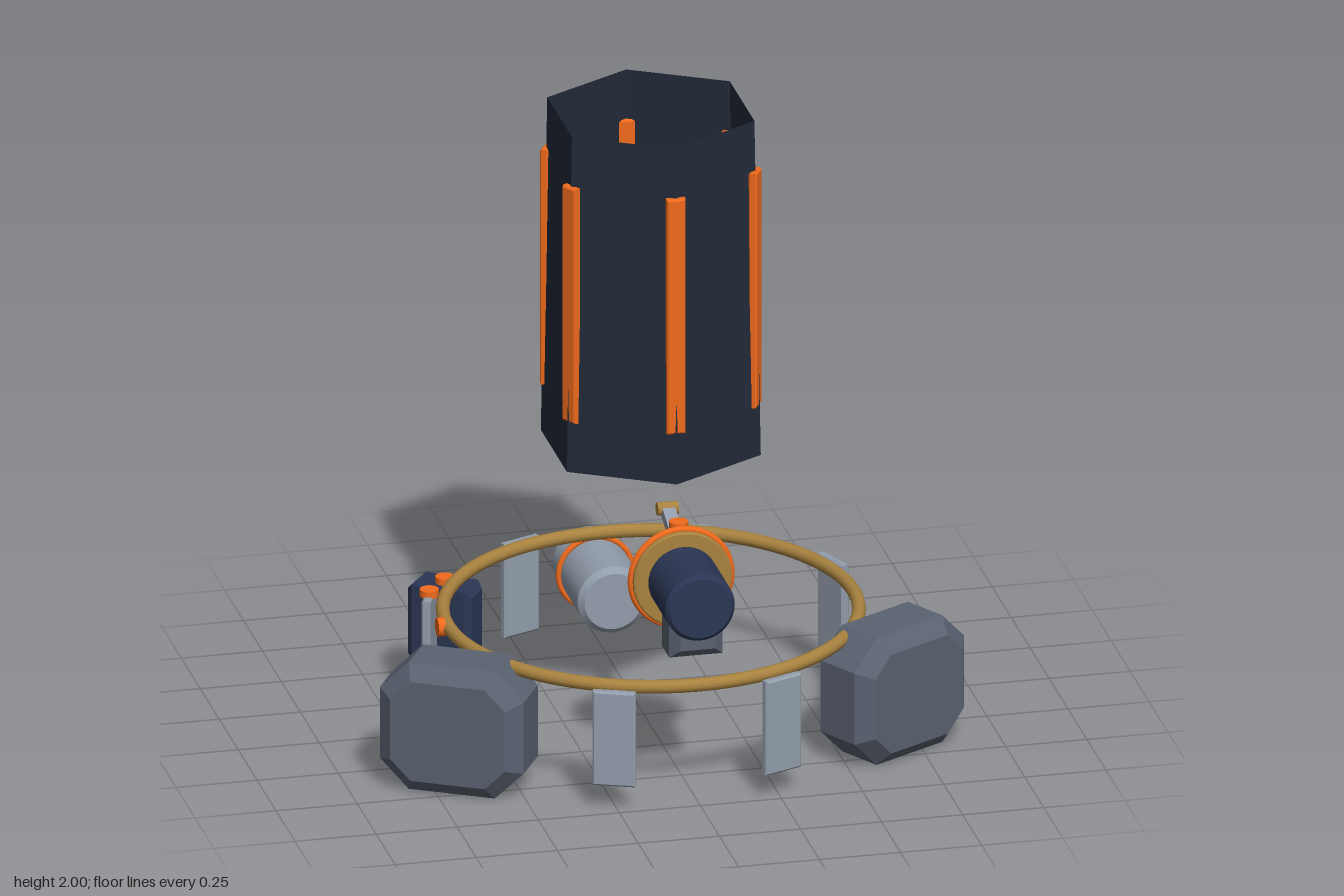
import * as THREE from 'three';
import { toCreasedNormals } from 'three/addons/utils/BufferGeometryUtils.js';

const CZ = 0.095; // z of the shared vertical axis
const mat = (color, extra = {}) => new THREE.MeshStandardMaterial({ color, ...extra });
const M = {
  shell: mat(0x222a38, { flatShading: true, side: THREE.DoubleSide }),
  orange: mat(0xf06a1c),
  gold: mat(0xa8823f),
  armour: mat(0x5a6271),
  plate: mat(0x929dab),
  navy: mat(0x2b3654),
};

function add(parent, name, geometry, material, x = 0, y = 0, z = 0) {
  const mesh = new THREE.Mesh(geometry, material);
  mesh.name = name;
  mesh.position.set(x, y, z);
  parent.add(mesh);
  return mesh;
}

// Box with chamfered edges; cut clips the four corners of its x-y outline
function bevelBox(w, h, d, bevel, cut = 0) {
  const a = w / 2 - bevel, b = h / 2 - bevel;
  const c = Math.max(0, cut - 0.586 * bevel);
  const pts = c > 0
    ? [[-a + c, -b], [a - c, -b], [a, -b + c], [a, b - c], [a - c, b], [-a + c, b], [-a, b - c], [-a, -b + c]]
    : [[-a, -b], [a, -b], [a, b], [-a, b]];
  const shape = new THREE.Shape(pts.map(p => new THREE.Vector2(...p)));
  return new THREE.ExtrudeGeometry(shape, {
    depth: d - 2 * bevel, bevelSize: bevel, bevelThickness: bevel, bevelSegments: 1,
  }).center();
}

// Round drum with chamfered rims, axis along z
function drum(r, length, bevel) {
  const l = length / 2;
  const pts = [[0, -l], [r - bevel, -l], [r, -l + bevel], [r, l - bevel], [r - bevel, l], [0, l]];
  const g = new THREE.LatheGeometry(pts.map(p => new THREE.Vector2(...p)), 40);
  return toCreasedNormals(g.rotateX(Math.PI / 2), 0.5);
}

const knob = () => new THREE.CylinderGeometry(0.029, 0.029, 0.022, 20);

// Group on the central axis at an angle measured from the front towards +x
function spoke(parent, name, angle) {
  const g = new THREE.Group();
  g.name = name;
  g.position.z = CZ;
  g.rotation.y = angle;
  parent.add(g);
  return g;
}

export function createModel() {
  const root = new THREE.Group();
  root.name = 'model';

  // Open tapering six-sided shell with a strip at each corner
  add(root, 'hexShell', new THREE.CylinderGeometry(0.325, 0.345, 1.08, 6, 1, true), M.shell, 0, 1.46, CZ);
  for (let i = 0; i < 6; i++) {
    const s = spoke(root, 'cornerStrip', i * Math.PI / 3);
    add(s, 'strip', bevelBox(0.058, 0.76, 0.026, 0.005), M.orange, 0, 1.46, 0.327);
  }

  // Belt ring with eight hanging plates
  add(root, 'beltRing', new THREE.TorusGeometry(0.625, 0.021, 12, 80).rotateX(Math.PI / 2), M.gold, 0, 0.382, CZ);
  for (let i = 0; i < 8; i++) {
    const s = spoke(root, 'hangingPlate', (i + 0.5) * Math.PI / 4);
    add(s, 'plate', bevelBox(0.13, 0.305, 0.028, 0.006), M.plate, 0, 0.232, 0.674);
  }

  // Chamfered side pods with three slats on their rear faces
  for (const side of [-1, 1]) {
    const pod = new THREE.Group();
    pod.name = side > 0 ? 'leftPod' : 'rightPod';
    pod.position.set(side * 0.668, 0.207, 0.422);
    pod.rotation.y = side * Math.PI / 6;
    add(pod, 'podBody', bevelBox(0.45, 0.41, 0.24, 0.045, 0.09), M.armour);
    for (const k of [-1, 0, 1])
      add(pod, 'slat', bevelBox(0.068, 0.2, 0.026, 0.006), M.orange, k * 0.106, 0, -0.124);
    root.add(pod);
  }

  // Rear canister and its band
  add(root, 'rearCanister', drum(0.107, 0.365, 0.018), M.plate, 0, 0.21, -0.578);
  add(root, 'canisterBand', new THREE.TorusGeometry(0.113, 0.009, 10, 48), M.orange, 0, 0.21, -0.638);

  // Front device: drum, rimmed disc, base block and tilted bar
  const device = new THREE.Group();
  device.name = 'frontDevice';
  root.add(device);
  add(device, 'deviceDrum', drum(0.107, 0.25, 0.012), M.navy, 0, 0.642, 0.632);
  add(device, 'deviceDisc', drum(0.152, 0.03, 0.004), M.gold, 0, 0.642, 0.505);
  add(device, 'discRim', new THREE.TorusGeometry(0.154, 0.011, 10, 56), M.orange, 0, 0.642, 0.495);
  add(device, 'deviceBase', bevelBox(0.164, 0.13, 0.152, 0.028), M.armour, 0, 0.53, 0.64);
  add(device, 'tiltedBar', bevelBox(0.04, 0.034, 0.315, 0.007), M.plate, 0, 0.732, 0.468).rotation.x = 0.37;
  add(device, 'deviceKnob', knob(), M.orange, 0, 0.8, 0.463);
  add(device, 'barRoller', new THREE.CylinderGeometry(0.02, 0.02, 0.064, 20).rotateZ(Math.PI / 2),
    M.gold, 0, 0.793, 0.313);

  // Pouch at the back right with a round dial on one face
  const pouch = spoke(root, 'pouch', -Math.PI * 0.7);
  add(pouch, 'pouchBody', bevelBox(0.115, 0.245, 0.21, 0.02), M.navy, 0, 0.238, 0.671);
  add(pouch, 'pouchDial', new THREE.CylinderGeometry(0.04, 0.04, 0.02, 24).rotateZ(Math.PI / 2),
    M.gold, -0.061, 0.285, 0.671);
  add(pouch, 'pouchKnob', knob(), M.orange, 0, 0.37, 0.671);

  // Knobs on the right side of the belt
  add(spoke(root, 'plateKnob', -Math.PI * 0.625), 'knob', knob(), M.orange, 0, 0.39, 0.674);
  add(root, 'beltKnob', knob().rotateZ(Math.PI / 2), M.orange, -0.648, 0.382, CZ);

  return root;
}
